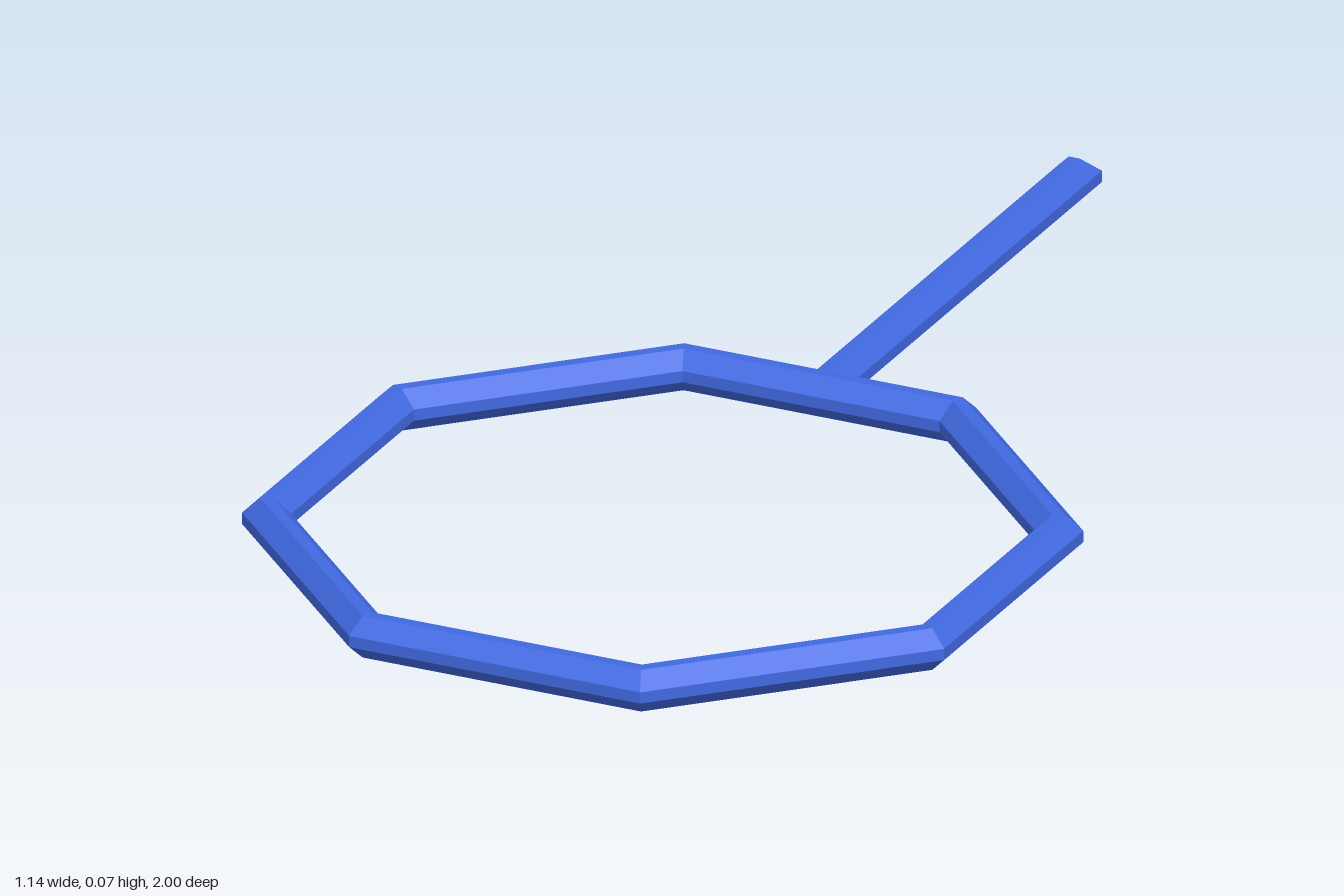
import * as THREE from 'three';

const HALF = 0.0335;   // half thickness of the bevelled bar
const FLAT = 0.009;    // half width of each flat between bevels
const APOTHEM = 0.539; // centre of ring to middle of a straight bar
const RING_Z = 0.4275;

export function createModel() {
  const group = new THREE.Group();
  const material = new THREE.MeshStandardMaterial({ color: 0x4169e1, flatShading: true });

  // Eight-sided ring: bevelled bar section with mitred corners
  const section = [
    [-FLAT, -HALF], [FLAT, -HALF], [HALF, -FLAT], [HALF, FLAT],
    [FLAT, HALF], [-FLAT, HALF], [-HALF, FLAT], [-HALF, -FLAT], [-FLAT, -HALF],
  ].map(([r, y]) => new THREE.Vector2((APOTHEM + r) / Math.cos(Math.PI / 8), y));
  const ring = new THREE.Mesh(new THREE.LatheGeometry(section, 8, Math.PI / 8), material);
  ring.name = 'ring';
  ring.position.set(0, HALF, RING_Z);
  group.add(ring);

  // Handle: four stacked rectangles make the bevelled sides, the bevelled tip
  // and the joint that follows the slope of the ring
  const bar = new THREE.BoxGeometry(2, 2, 2, 1, 3, 1);
  const p = bar.attributes.position;
  const joint = RING_Z - APOTHEM - HALF;
  for (let i = 0; i < p.count; i++) {
    const outer = Math.abs(p.getY(i)) > 0.5;
    const inset = outer ? HALF - FLAT : 0;
    p.setXYZ(
      i,
      Math.sign(p.getX(i)) * (outer ? FLAT : HALF),
      Math.sign(p.getY(i)) * (outer ? HALF : FLAT),
      (p.getZ(i) < 0 ? -1 : joint) + inset
    );
  }
  bar.computeVertexNormals();
  const handle = new THREE.Mesh(bar, material);
  handle.name = 'handle';
  handle.position.y = HALF;
  group.add(handle);

  return group;
}
